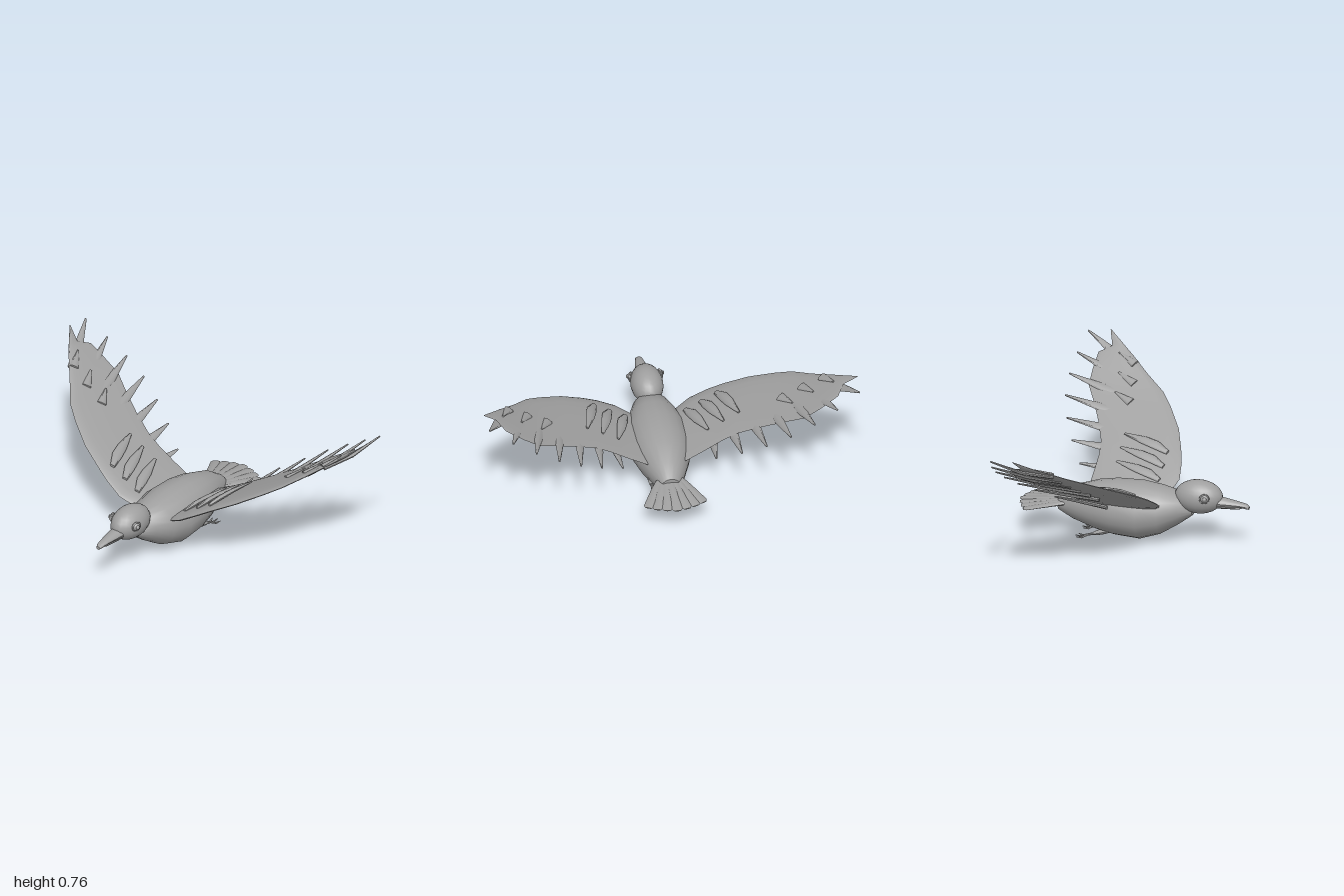
import * as THREE from 'three';
import { toCreasedNormals } from 'three/addons/utils/BufferGeometryUtils.js';

const V = (x, y, z) => new THREE.Vector3(x, y, z);
const grey = new THREE.MeshStandardMaterial({ color: 0xa0a0a0 });
grey.name = 'plumage grey';

// Skin a list of rings, close both ends, and turn the faces outward
function loft(rings, crease = 0.7) {
  const n = rings[0].length, pts = rings.flat(), idx = [];
  for (let i = 0; i < rings.length - 1; i++) {
    for (let j = 0; j < n; j++) {
      const a = i * n + j, b = i * n + (j + 1) % n;
      idx.push(a, b, a + n, b, b + n, a + n);
    }
  }
  const last = (rings.length - 1) * n;
  for (let j = 1; j < n - 1; j++) idx.push(0, j + 1, j, last, last + j, last + j + 1);
  let volume = 0;
  for (let i = 0; i < idx.length; i += 3) {
    volume += pts[idx[i]].dot(pts[idx[i + 1]].clone().cross(pts[idx[i + 2]]));
  }
  if (volume < 0) idx.reverse();
  const g = new THREE.BufferGeometry().setFromPoints(pts);
  g.setIndex(idx);
  return toCreasedNormals(g, crease);
}

// Elliptical ring around c with half axes u and v
function ring(c, u, v, n) {
  return Array.from({ length: n }, (_, i) => {
    const a = i / n * Math.PI * 2;
    return c.clone().addScaledVector(u, Math.cos(a)).addScaledVector(v, Math.sin(a));
  });
}

// Flat tapering feather: path points, half widths, half thicknesses, sideways direction
function feather(path, widths, thick, across, n = 8) {
  const dir = path[path.length - 1].clone().sub(path[0]).normalize();
  const u = across.clone().addScaledVector(dir, -across.dot(dir)).normalize();
  const v = dir.clone().cross(u);
  return loft(path.map((p, i) =>
    ring(p, u.clone().multiplyScalar(widths[i]), v.clone().multiplyScalar(thick[i]), n)));
}

// Wing stations: x, height, leading z, trailing z, half thickness
const WING = [
  [0.10, 0.222, 0.155, -0.28, 0.028], [0.20, 0.275, 0.19, -0.278, 0.028],
  [0.30, 0.333, 0.175, -0.277, 0.025], [0.38, 0.378, 0.15, -0.288, 0.023],
  [0.50, 0.44, 0.105, -0.335, 0.021], [0.63, 0.51, 0.025, -0.40, 0.018],
  [0.71, 0.555, -0.035, -0.445, 0.016], [0.80, 0.612, -0.145, -0.447, 0.015],
  [0.89, 0.675, -0.25, -0.44, 0.013], [0.93, 0.702, -0.30, -0.375, 0.01],
  [1.00, 0.762, -0.397, -0.403, 0.002],
];
function wingY(x) {
  const i = Math.max(1, WING.findIndex((s) => s[0] >= x));
  const a = WING[i - 1], b = WING[i];
  return a[1] + (b[1] - a[1]) * (x - a[0]) / (b[0] - a[0]);
}

export function createModel() {
  const model = new THREE.Group();
  const add = (name, geo, parent = model) => {
    const m = new THREE.Mesh(geo, grey);
    m.name = name;
    parent.add(m);
    return m;
  };
  const ball = (name, x, y, z, rx, ry, rz, parent = model) => {
    const m = add(name, new THREE.SphereGeometry(1, 20, 14), parent);
    m.position.set(x, y, z);
    m.scale.set(rx, ry, rz);
    return m;
  };

  // Body: z, bottom, top, half width
  const body = [
    [0.32, 0.165, 0.225, 0.04], [0.25, 0.112, 0.285, 0.095], [0.15, 0.048, 0.308, 0.14],
    [0.04, 0.012, 0.322, 0.167], [-0.1, 0.022, 0.32, 0.16], [-0.2, 0.042, 0.305, 0.138],
    [-0.33, 0.083, 0.266, 0.09], [-0.41, 0.125, 0.212, 0.05],
  ];
  add('body', loft(body.map(([z, b, t, w]) =>
    ring(V(0, (b + t) / 2, z), V(w, 0, 0), V(0, (t - b) / 2, 0), 20)), 0.9));

  // Head and beak
  ball('head', 0, 0.271, 0.35, 0.087, 0.091, 0.131);
  const beak = (name, rows) => add(name, loft(rows.map(([z, y, w, h]) =>
    ring(V(0, y, z), V(w, 0, 0), V(0, h, 0), 12))));
  beak('upperBeak', [[0.44, 0.252, 0.045, 0.03], [0.49, 0.25, 0.037, 0.025],
    [0.57, 0.246, 0.026, 0.014], [0.61, 0.239, 0.019, 0.014], [0.625, 0.232, 0.012, 0.009]]);
  beak('lowerBeak', [[0.44, 0.232, 0.034, 0.016], [0.5, 0.229, 0.026, 0.012],
    [0.57, 0.228, 0.017, 0.008], [0.585, 0.229, 0.008, 0.004]]);

  // Tail fan
  const tail = new THREE.Group();
  tail.name = 'tail';
  model.add(tail);
  for (let i = -3; i <= 3; i++) {
    const a = i * 0.15, len = 0.325 - Math.abs(i) * 0.008;
    const at = (d, y) => V(Math.sin(a) * d + i * 0.006, y - Math.abs(i) * 0.001, -0.3 - Math.cos(a) * d);
    add('tailFeather', feather([at(0.03, 0.186), at(0.15, 0.179), at(len - 0.015, 0.167), at(len, 0.166)],
      [0.016, 0.025, 0.028, 0.018], [0.011, 0.009, 0.005, 0.003], V(Math.cos(a), 0, Math.sin(a))), tail);
  }

  for (const s of [1, -1]) {
    const side = s > 0 ? 'left' : 'right';
    const across = V(s, 0.55, 0);

    // Eye with ring and pupil
    ball(side + 'Eye', s * 0.078, 0.29, 0.4, 0.018, 0.023, 0.023);
    const lid = add(side + 'EyeRing', new THREE.TorusGeometry(0.023, 0.005, 8, 20));
    lid.position.set(s * 0.08, 0.29, 0.4);
    lid.rotation.y = s * 1.25;
    ball(side + 'Pupil', s * 0.093, 0.291, 0.404, 0.009, 0.012, 0.012);

    // Wing blade, thicker toward the leading edge
    const wing = new THREE.Group();
    wing.name = side + 'Wing';
    model.add(wing);
    add('wingBlade', loft(WING.map(([x, y, zl, zt, t]) => Array.from({ length: 16 }, (_, i) => {
      const a = i / 16 * Math.PI * 2, c = Math.cos(a);
      return V(s * x, y + t * Math.sin(a) * (0.65 + 0.35 * c), (zl + zt) / 2 + c * (zl - zt) / 2);
    })), 0.9), wing);

    // Flight feathers under the trailing edge: base x, y, z, then tip x, y, z
    const flight = [
      [0.27, 0.265, -0.08, 0.25, 0.29, -0.37], [0.35, 0.335, -0.10, 0.375, 0.367, -0.447],
      [0.45, 0.395, -0.12, 0.497, 0.442, -0.507], [0.555, 0.455, -0.145, 0.62, 0.52, -0.548],
      [0.66, 0.52, -0.17, 0.745, 0.595, -0.56], [0.76, 0.58, -0.195, 0.868, 0.67, -0.55],
      [0.85, 0.64, -0.22, 0.99, 0.75, -0.522],
    ];
    flight.forEach(([bx, by, bz, tx, ty, tz], i) => {
      const mid = V(s * (bx + (tx - bx) * 0.5), by + (ty - by) * (0.62 - i * 0.05), bz + (tz - bz) * 0.5);
      add('flightFeather', feather([V(s * bx, by, bz), mid, V(s * tx, ty, tz)],
        [0.02, 0.026, 0.005], [0.011, 0.010, 0.004], across), wing);
    });

    // Long coverts lying on the inner wing
    for (let i = 0; i < 3; i++) {
      const x = 0.16 + i * 0.083;
      const at = (dx, lift, z) => V(s * (x + dx), wingY(x + dx) + lift, z);
      add('innerCovert', feather([at(0, 0.022, 0.09), at(0.025, 0.034, 0.02), at(0.045, 0.036, -0.05), at(0.08, 0.03, -0.165)],
        [0.014, 0.028, 0.026, 0.007], [0.009, 0.012, 0.011, 0.004], across), wing);
    }

    // Short coverts poking through the outer wing
    for (const [x, z] of [[0.62, -0.19], [0.73, -0.2], [0.835, -0.225]]) {
      add('outerCovert', feather([V(s * x, wingY(x) + 0.012, z), V(s * (x + 0.05), wingY(x + 0.05) + 0.014, z - 0.1)],
        [0.026, 0.005], [0.010, 0.004], across), wing);
    }

    // Leg and toes
    const leg = new THREE.Group();
    leg.name = side + 'Leg';
    model.add(leg);
    add('thigh', feather([V(s * 0.065, 0.055, -0.12), V(s * 0.067, 0.043, -0.165), V(s * 0.068, 0.03, -0.205)],
      [0.017, 0.019, 0.012], [0.012, 0.015, 0.01], V(1, 0, 0), 10), leg);
    add('shank', feather([V(s * 0.068, 0.034, -0.19), V(s * 0.068, 0.017, -0.25)],
      [0.008, 0.007], [0.008, 0.006], V(1, 0, 0)), leg);
    for (const t of [-1, 0, 1]) {
      add('toe', feather([V(s * 0.068, 0.019, -0.24), V(s * 0.068 + t * 0.018, 0.007, -0.27),
        V(s * 0.068 + t * 0.027, 0.011, -0.305 + Math.abs(t) * 0.01)],
      [0.006, 0.006, 0.002], [0.005, 0.005, 0.002], V(1, 0, 0)), leg);
    }
  }
  return model;
}
